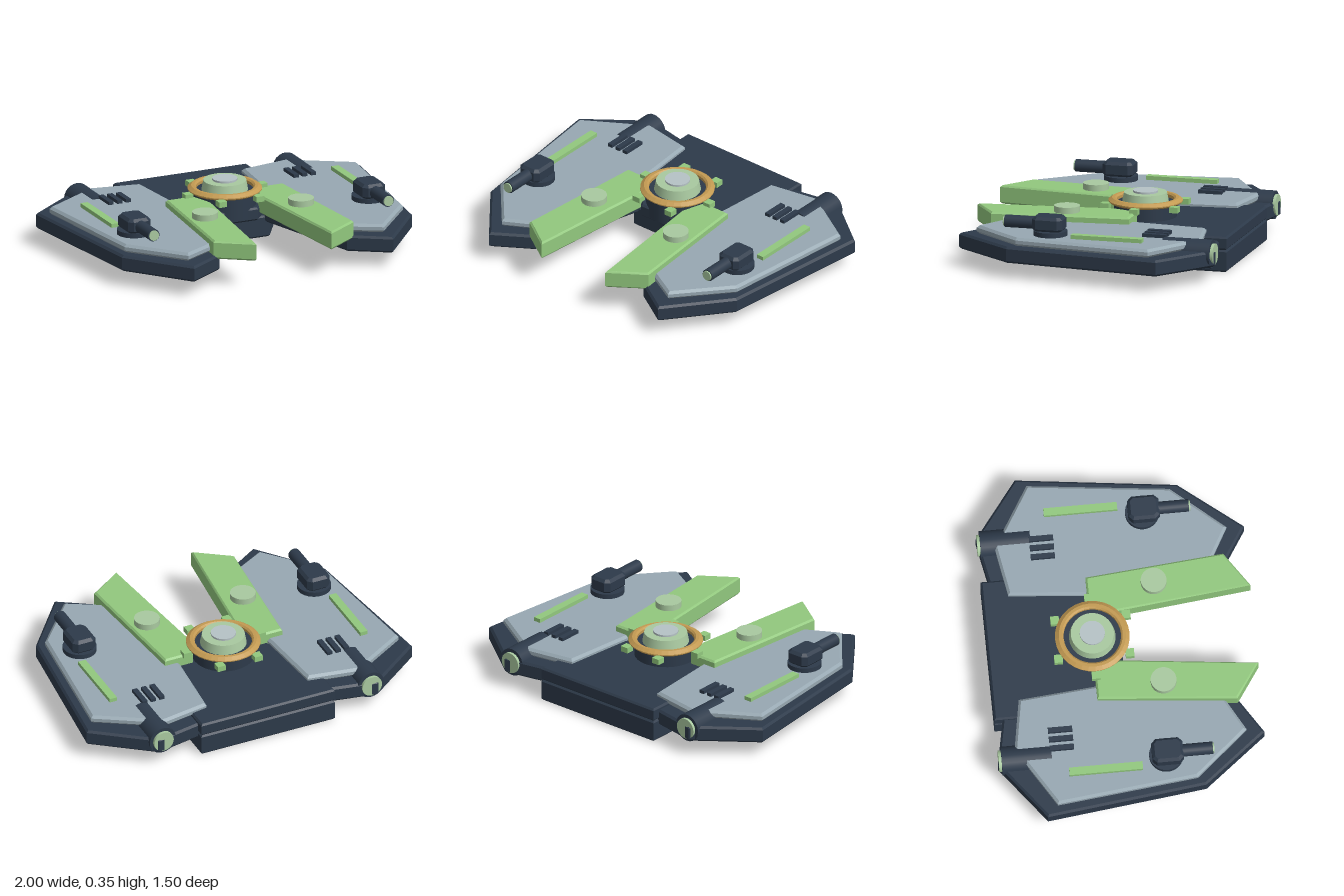
import * as THREE from 'three';

const mat = (name, color) => {
  const m = new THREE.MeshStandardMaterial({ color });
  m.name = name;
  return m;
};

export function createModel() {
  const root = new THREE.Group();
  root.name = 'hoverCraft';
  const navy = mat('navyHull', 0x2d3a4a);
  const grey = mat('greyArmour', 0x97a8b2);
  const green = mat('brightGreen', 0x92c87e);
  const pale = mat('paleGreen', 0xa9c9a0);
  const orange = mat('orangeRing', 0xc39a52);
  const silver = mat('silverCap', 0xb6c3c6);

  const add = (name, geo, material, x = 0, y = 0, z = 0, parent = root) => {
    const mesh = new THREE.Mesh(geo, material);
    mesh.name = name;
    mesh.position.set(x, y, z);
    parent.add(mesh);
    return mesh;
  };

  // Bevelled slab from an [x, z] outline between two heights
  const slab = (pts, y0, y1, bevel) => {
    const shape = new THREE.Shape(pts.map(([x, z]) => new THREE.Vector2(x, -z)));
    const geo = new THREE.ExtrudeGeometry(shape, {
      depth: y1 - y0 - 2 * bevel, bevelEnabled: true, bevelSegments: 1,
      bevelThickness: bevel, bevelSize: bevel, bevelOffset: -bevel,
    });
    geo.rotateX(-Math.PI / 2);
    geo.translate(0, y0 + bevel, 0);
    return geo;
  };
  const mirrored = (half) => [...half, ...half.map(([x, z]) => [-x, z]).reverse()];
  const disc = (r, h, n = 32) => new THREE.CylinderGeometry(r, r, h, n);
  const rod = (r, h, n = 24) => disc(r, h, n).rotateX(Math.PI / 2);

  // Central body
  add('lowerHull', slab(mirrored([[0.41, -0.745], [0.41, -0.35], [0.23, -0.06]]), 0, 0.125, 0.01), navy);
  add('upperDeck', slab(mirrored([[0.41, -0.745], [0.41, -0.4], [0.27, -0.16], [0.13, 0.0]]), 0.125, 0.2, 0.01), navy);

  // Hub with a bevelled ring and stacked caps
  const hub = new THREE.Group();
  hub.name = 'hub';
  hub.position.z = -0.16;
  root.add(hub);
  add('hubPedestal', disc(0.175, 0.135), navy, 0, 0.2125, 0, hub);
  const ringProfile = [[0.16, 0.275], [0.195, 0.275], [0.208, 0.285], [0.208, 0.291], [0.187, 0.306], [0.17, 0.306], [0.16, 0.297], [0.16, 0.275]];
  const ringGeo = new THREE.LatheGeometry(ringProfile.map(([x, y]) => new THREE.Vector2(x, y)), 32).toNonIndexed();
  ringGeo.computeVertexNormals();
  add('hubRing', ringGeo, orange, 0, 0, 0, hub);
  add('hubDome', new THREE.CylinderGeometry(0.12, 0.13, 0.055, 32), pale, 0, 0.3075, 0, hub);
  add('hubCap', disc(0.07, 0.012), silver, 0, 0.34, 0, hub);
  for (let i = 0; i < 6; i++) {
    const a = (i * Math.PI) / 3;
    add('hubTab', new THREE.BoxGeometry(0.048, 0.032, 0.048), green, Math.cos(a) * 0.228, 0.27, Math.sin(a) * 0.23, hub);
  }

  for (const s of [1, -1]) {
    const side = new THREE.Group();
    side.name = s > 0 ? 'leftWing' : 'rightWing';
    root.add(side);
    const put = (name, geo, m, x, y, z) => add(name, geo, m, s * x, y, z, side);
    const plate = (name, pts, y0, y1, b, m) => add(name, slab(pts.map(([x, z]) => [s * x, z]), y0, y1, b), m, 0, 0, 0, side);

    // Wing, armour plate and front arm
    plate('wingHull', [[1, -0.5], [0.89, 0.395], [0.61, 0.745], [0.39, 0.605], [0.2, -0.06],
      [0.25, -0.67], [0.41, -0.7], [0.67, -0.75]], 0.088, 0.18, 0.012, navy);
    plate('wingArmour', [[0.945, -0.44], [0.855, 0.35], [0.6, 0.645], [0.41, 0.54], [0.27, -0.16],
      [0.31, -0.6], [0.6, -0.65]], 0.178, 0.226, 0.014, grey);
    plate('frontArm', [[0.36, -0.165], [0.43, 0.61], [0.23, 0.745], [0.145, -0.02], [0.19, -0.165]],
      0.16, 0.265, 0.01, green);
    put('armButton', disc(0.072, 0.04), pale, 0.295, 0.28, 0.21);

    // Surface stripe and vents
    put('wingStripe', new THREE.BoxGeometry(0.045, 0.025, 0.41), green, 0.77, 0.236, -0.155);
    for (let i = 0; i < 3; i++) {
      put('vent', new THREE.BoxGeometry(0.03, 0.02, 0.135), navy, 0.515 + i * 0.053, 0.235, -0.388);
    }

    // Turret
    put('turretBase', disc(0.095, 0.03), navy, 0.72, 0.238, 0.185);
    const housing = slab([[0.07, -0.06], [0.07, 0.065], [0.045, 0.09], [-0.045, 0.09], [-0.07, 0.065],
      [-0.07, -0.06], [-0.045, -0.085], [0.045, -0.085]], 0.25, 0.335, 0.016);
    put('turretHousing', housing, navy, 0.72, 0, 0.19);
    put('turretBarrel', rod(0.035, 0.18), navy, 0.72, 0.29, 0.355);
    put('barrelTip', rod(0.029, 0.014), pale, 0.72, 0.29, 0.446);

    // Rear thruster
    put('thruster', rod(0.08, 0.28), navy, 0.64, 0.155, -0.588);
    put('thrusterGlow', rod(0.06, 0.02), pale, 0.64, 0.155, -0.734);
  }
  return root;
}
